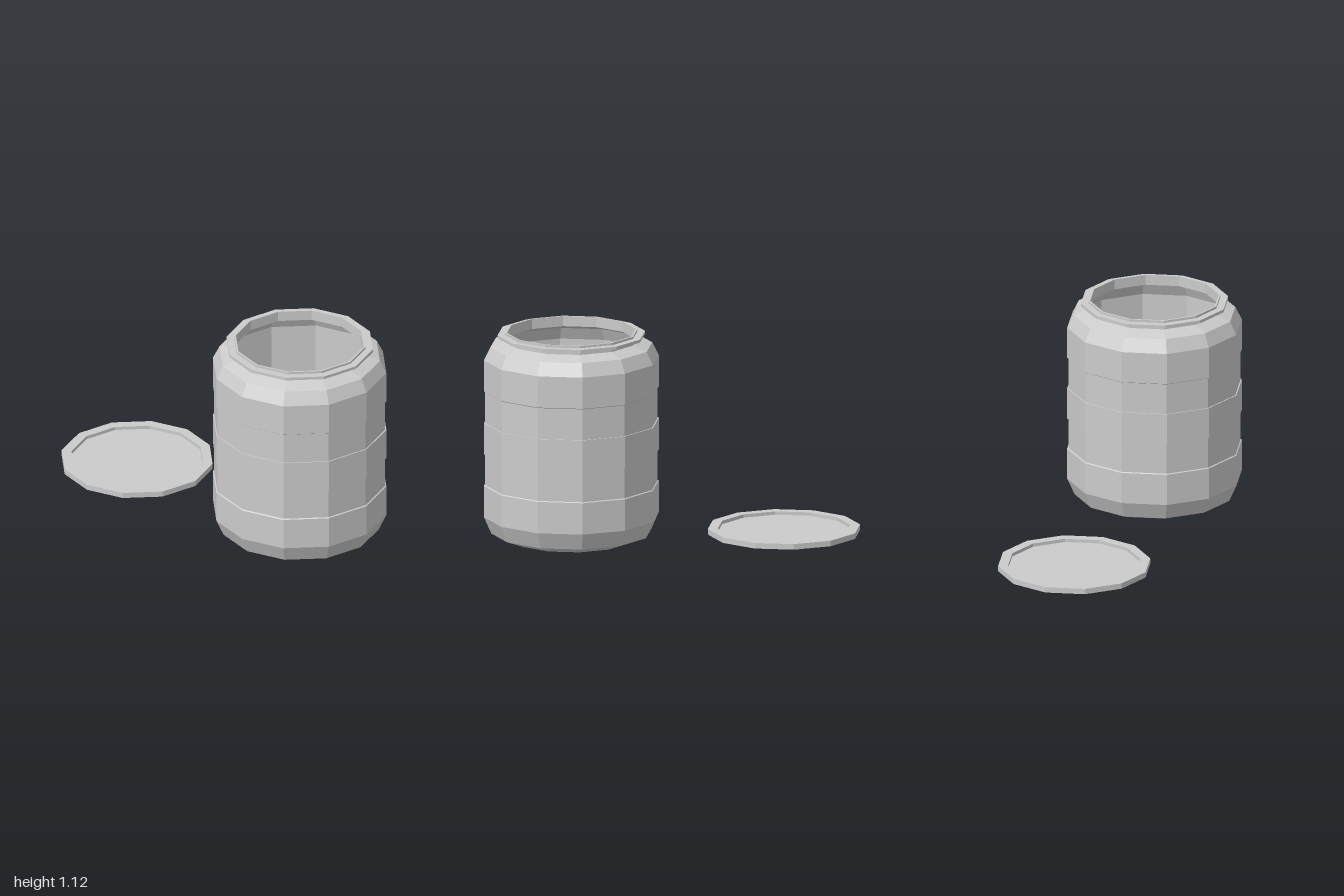
import * as THREE from 'three';

const SIDES = 12;

// Faceted part turned from a closed [radius, height] profile
function turned(name, profile, z) {
  const points = profile.map(([r, y]) => new THREE.Vector2(r, y));
  const mesh = new THREE.Mesh(
    new THREE.LatheGeometry(points, SIDES),
    new THREE.MeshStandardMaterial({ color: 0xcccccc, flatShading: true, side: THREE.DoubleSide })
  );
  mesh.name = name;
  mesh.position.z = z;
  return mesh;
}

export function createModel() {
  const group = new THREE.Group();
  group.name = 'openBarrel';

  // Outer wall: chamfered foot, alternating wide and narrow bands, sloped shoulder
  const wide = 0.465, narrow = 0.459;
  const outer = [
    [0.32, 0], [0.425, 0.04], [wide, 0.13],
    [wide, 0.30], [narrow, 0.304],
    [narrow, 0.47], [wide, 0.47],
    [wide, 0.64], [narrow, 0.64],
    [narrow, 0.807], [wide, 0.811],
    [wide, 0.98], [0.43, 1.05], [0.352, 1.077],
  ];

  // Neck with a thin flange, then the lip
  const neck = [
    [0.352, 1.097], [0.392, 1.097], [0.392, 1.113], [0.352, 1.113],
    [0.352, 1.125], [0.342, 1.125], [0.342, 1.07],
  ];

  // Inner wall down to the floor
  const inner = [
    [0.422, 1.042], [0.453, 0.977], [0.453, 0.133], [0.417, 0.048], [0.317, 0.01],
  ];

  group.add(turned('barrel', [[0, 0], ...outer, ...neck, ...inner, [0, 0.01]], 0.535));

  // Lid lying behind: raised rim around a thin recessed plate
  group.add(turned('lid', [
    [0, 0.005], [0.352, 0.005], [0.352, 0], [0.405, 0],
    [0.405, 0.03], [0.352, 0.03], [0.352, 0.012], [0, 0.012],
  ], -0.595));

  return group;
}
